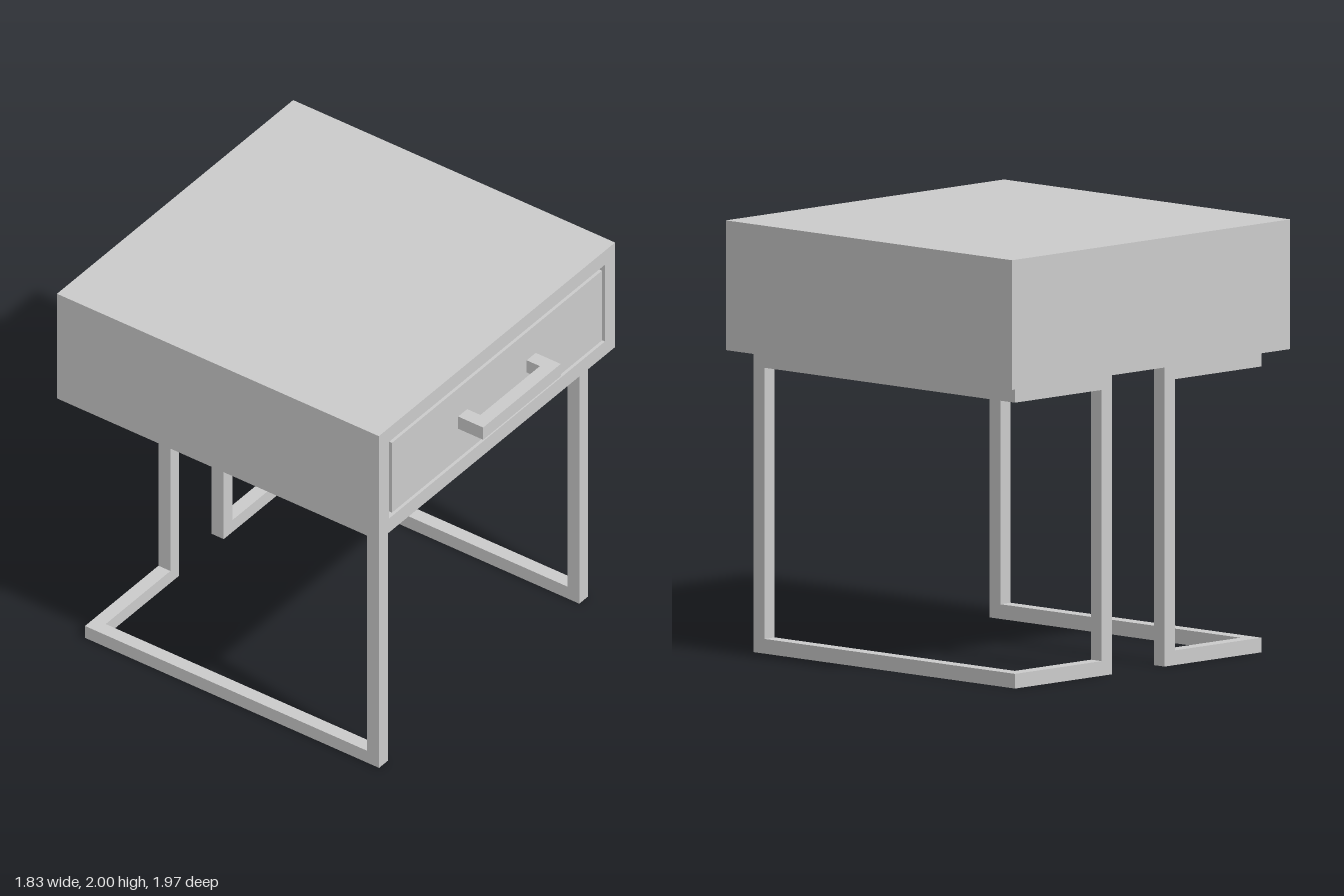
import * as THREE from 'three';

const material = new THREE.MeshStandardMaterial({ color: 0xcccccc });

// Box given by its minimum and maximum corners
function block(name, [x0, y0, z0], [x1, y1, z1]) {
  const mesh = new THREE.Mesh(new THREE.BoxGeometry(x1 - x0, y1 - y0, z1 - z0), material);
  mesh.name = name;
  mesh.position.set((x0 + x1) / 2, (y0 + y1) / 2, (z0 + z1) / 2);
  return mesh;
}

// Counter-clockwise rectangle outline
function rectangle(PathType, x, y0, y1) {
  return new PathType([[-x, y0], [x, y0], [x, y1], [-x, y1]].map(p => new THREE.Vector2(...p)));
}

function createCabinet() {
  const group = new THREE.Group();
  group.name = 'cabinet';
  const front = 0.843, groove = 0.04, inner = front - groove;
  group.add(block('cabinetBody', [-0.913, 1.4, -0.985], [0.913, 2, inner]));

  // Front frame around the drawer, leaving a narrow shadow gap
  const shape = rectangle(THREE.Shape, 0.913, 1.4, 2);
  shape.holes.push(rectangle(THREE.Path, 0.835, 1.48, 1.92));
  const frame = new THREE.Mesh(
    new THREE.ExtrudeGeometry(shape, { depth: groove, bevelEnabled: false }), material);
  frame.name = 'frontFrame';
  frame.position.z = inner;
  group.add(frame);
  group.add(block('drawerFront', [-0.812, 1.5, inner], [0.812, 1.9, front]));
  return group;
}

// U-shaped pull lying flat, extruded upwards
function createHandle() {
  const points = [[-0.3, 0.843], [-0.3, 0.985], [0.3, 0.985], [0.3, 0.843],
    [0.23, 0.843], [0.23, 0.918], [-0.23, 0.918], [-0.23, 0.843]];
  const shape = new THREE.Shape(points.map(([x, z]) => new THREE.Vector2(x, -z)));
  const geometry = new THREE.ExtrudeGeometry(shape, { depth: 0.07, bevelEnabled: false });
  geometry.rotateX(-Math.PI / 2);
  const handle = new THREE.Mesh(geometry, material);
  handle.name = 'drawerHandle';
  handle.position.y = 1.67;
  return handle;
}

// Bent bar loop: outer front post, L-shaped rails, inner back post
function createLeg(side, name) {
  const group = new THREE.Group();
  group.name = name;
  const t = 0.068, top = 1.39, inX = 0.172, outX = 0.808, frontZ = 0.767, backZ = -0.903;
  const add = (part, [x0, y0, z0], [x1, y1, z1]) => group.add(side > 0
    ? block(part, [x0, y0, z0], [x1, y1, z1])
    : block(part, [-x1, y0, z0], [-x0, y1, z1]));
  add('frontPost', [outX - t, t, frontZ - t], [outX, top - t, frontZ]);
  add('backPost', [inX, t, backZ], [inX + t, top - t, backZ + t]);
  for (const [level, y] of [['bottom', 0], ['top', top - t]]) {
    add(level + 'SideRail', [outX - t, y, backZ], [outX, y + t, frontZ]);
    add(level + 'BackRail', [inX, y, backZ], [outX - t, y + t, backZ + t]);
  }
  return group;
}

export function createModel() {
  const model = new THREE.Group();
  model.name = 'nightstand';
  model.add(createCabinet(), createHandle(), createLeg(1, 'leftLeg'), createLeg(-1, 'rightLeg'));
  return model;
}
